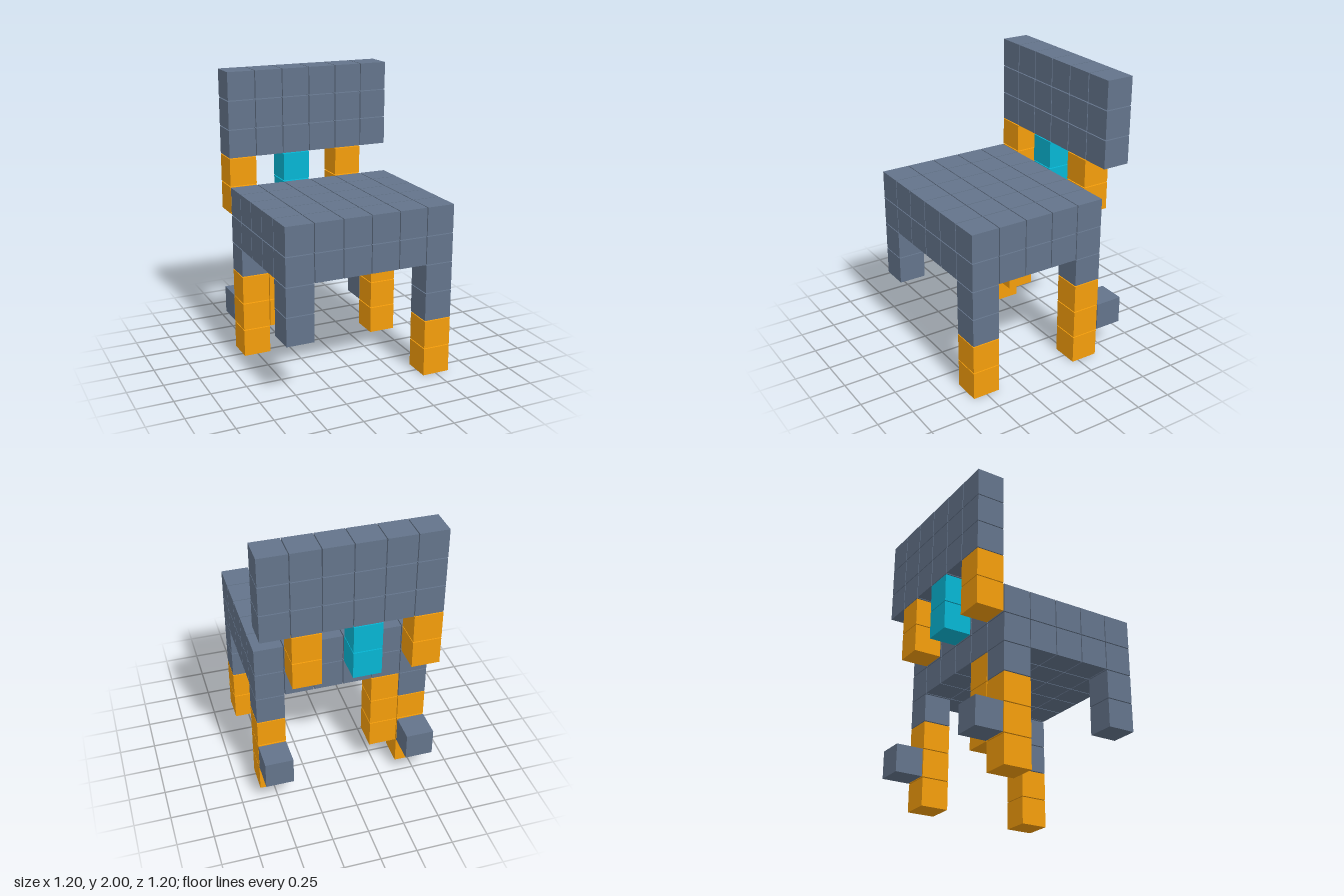
import * as THREE from 'three';
import { mergeGeometries } from 'three/addons/utils/BufferGeometryUtils.js';

const SIZE = 0.194;               // cube edge
const PITCH = (2 - SIZE) / 9;     // spacing: ten cubes make the full height

const slate = new THREE.MeshStandardMaterial({ color: 0x64748b });
const orange = new THREE.MeshStandardMaterial({ color: 0xf59e0b });
const cyan = new THREE.MeshStandardMaterial({ color: 0x06b6d4 });

// Fills an inclusive range of grid cells with cubes: x 0-5, y 0-9 (up), z 0-5 (back to front)
function blocks(name, material, [x0, x1], [y0, y1], [z0, z1]) {
  const cubes = [];
  for (let x = x0; x <= x1; x++)
    for (let y = y0; y <= y1; y++)
      for (let z = z0; z <= z1; z++)
        cubes.push(new THREE.BoxGeometry(SIZE, SIZE, SIZE)
          .translate((x - 2.5) * PITCH, y * PITCH + SIZE / 2, (z - 2.5) * PITCH));
  const mesh = new THREE.Mesh(mergeGeometries(cubes), material);
  mesh.name = name;
  return mesh;
}

// A leg of one-cube columns: slate above, orange foot below (if any)
function leg(name, x, z, footTop) {
  const group = new THREE.Group();
  group.name = name;
  group.add(blocks(name + 'Upper', slate, [x, x], [footTop + 1, 3], [z, z]));
  if (footTop >= 0) group.add(blocks(name + 'Foot', orange, [x, x], [0, footTop], [z, z]));
  return group;
}

export function createModel() {
  const chair = new THREE.Group();
  chair.name = 'chair';

  // Seat and backrest
  chair.add(blocks('seat', slate, [0, 5], [4, 5], [1, 5]));
  chair.add(blocks('backrest', slate, [0, 5], [7, 9], [0, 0]));

  // Posts joining the backrest to the seat
  chair.add(blocks('rightBackPost', orange, [0, 0], [5, 6], [0, 0]));
  chair.add(blocks('middleBackPost', cyan, [2, 2], [5, 6], [0, 0]));
  chair.add(blocks('leftBackPost', orange, [4, 4], [5, 6], [0, 0]));

  // Legs; the right front one is a short stump
  chair.add(leg('leftFrontLeg', 5, 5, 1));
  chair.add(blocks('rightFrontLeg', slate, [0, 0], [2, 3], [5, 5]));
  chair.add(leg('leftBackLeg', 5, 1, 2));
  chair.add(leg('rightBackLeg', 0, 1, 2));

  // Extra column beside the right back leg
  chair.add(blocks('legBrace', orange, [1, 1], [1, 3], [1, 1]));

  // Single cubes behind the back legs
  chair.add(blocks('leftHeelBlock', slate, [5, 5], [1, 1], [0, 0]));
  chair.add(blocks('rightHeelBlock', slate, [0, 0], [1, 1], [0, 0]));

  return chair;
}
